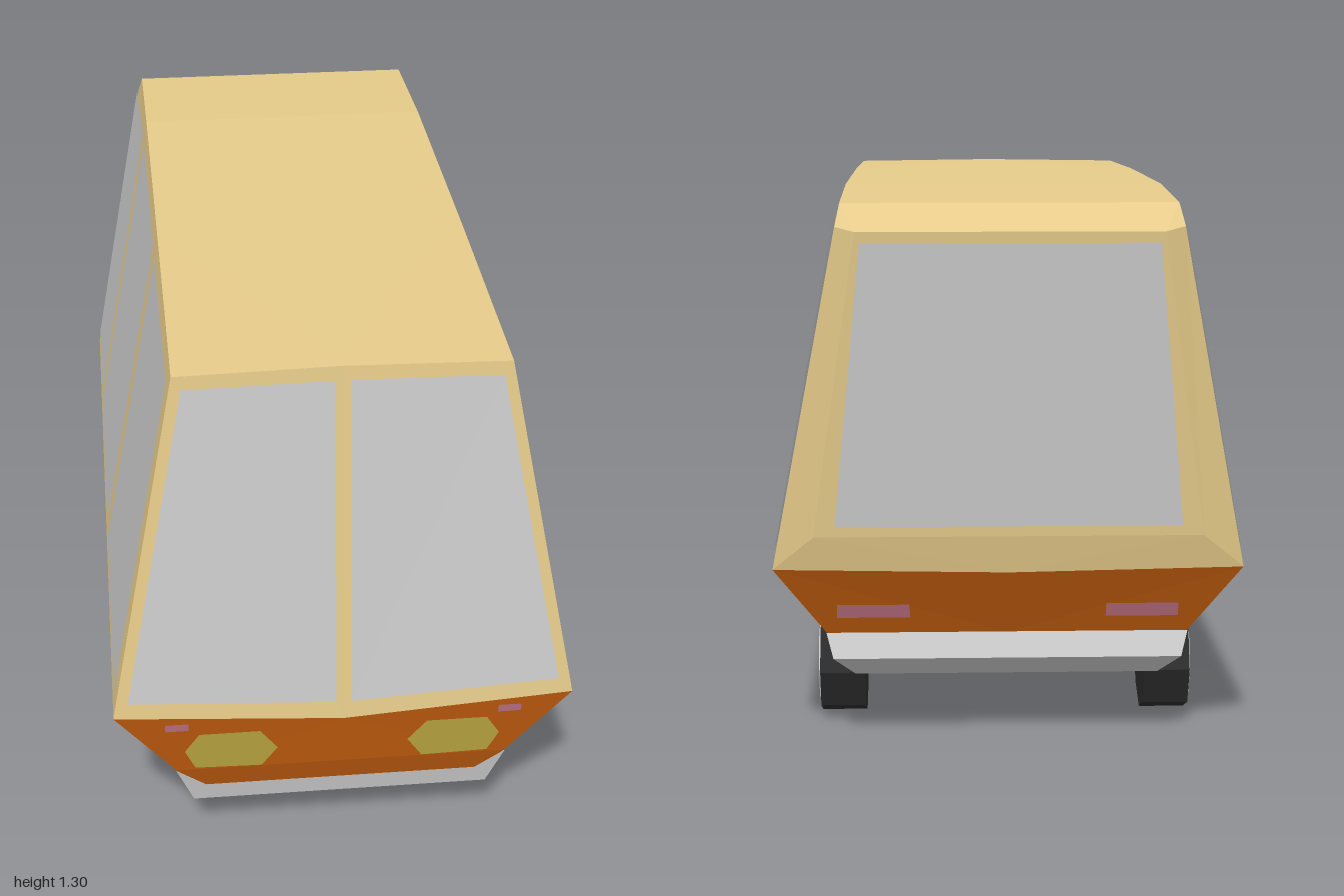
import * as THREE from 'three';

const mat = (color) => new THREE.MeshStandardMaterial({ color, flatShading: true, side: THREE.DoubleSide });
const MATS = {
  tan: mat(0xe6cb8a), orange: mat(0xc8600f), grey: mat(0xcccccc), yellow: mat(0xc8b446),
  pink: mat(0xc8788a), tyre: mat(0x2c2c2c),
};

// Mesh from right-half polygons: each is fanned, turned outward and mirrored in x
function shell(name, material, polys, centre = [0, 0.6, 0]) {
  const pos = [];
  const c = new THREE.Vector3(...centre);
  for (const sx of [1, -1]) {
    for (const poly of polys) {
      const p = poly.map(([x, y, z]) => new THREE.Vector3(x * sx, y, z));
      const normal = new THREE.Vector3();
      const mid = new THREE.Vector3();
      p.forEach((a, i) => {
        normal.add(a.clone().cross(p[(i + 1) % p.length]));
        mid.addScaledVector(a, 1 / p.length);
      });
      const outward = normal.dot(mid.sub(c)) > 0;
      for (let i = 1; i < p.length - 1; i++) {
        const tri = outward ? [p[0], p[i], p[i + 1]] : [p[0], p[i + 1], p[i]];
        tri.forEach((v) => pos.push(v.x, v.y, v.z));
      }
    }
  }
  const g = new THREE.BufferGeometry();
  g.setAttribute('position', new THREE.Float32BufferAttribute(pos, 3));
  g.computeVertexNormals();
  const mesh = new THREE.Mesh(g, material);
  mesh.name = name;
  return mesh;
}

const onCentre = ([, y, z]) => [0, y, z];

export function createModel() {
  const van = new THREE.Group();
  van.name = 'van';

  // Key corners of the left half
  const waistFront = [0.545, 0.445, 1.0], waistMid = [0, 0.395, 0.985];
  const waistRear = [0.545, 0.44, -0.905], waistRearMid = [0, 0.43, -0.905];
  const roof = [[0.38, 1.295, 0.9], [0.38, 1.305, 0.2], [0.38, 1.305, -0.55], [0.38, 1.285, -0.935]];
  const roofFrontMid = [0, 1.3, 0.895];
  const rearCorner = [0.39, 1.235, -0.98];
  const rearTop = [0.345, 1.225, -1.0], rearLow = [0.45, 0.52, -0.925];
  const noseLow = [0.4, 0.235, 0.945], sillFront = [0.355, 0.16, 0.915];
  const tailLow = [0.425, 0.265, -0.82], sillRear = [0.355, 0.16, -0.79];

  // Cabin frame
  const cabin = [
    [waistFront, waistRear, rearCorner, roof[3], roof[2], roof[1], roof[0]],
    [waistMid, waistFront, roof[0], roofFrontMid],
    [roof[3], rearCorner, rearTop],
    [roof[3], rearTop, onCentre(rearTop), onCentre(roof[3])],
    [rearCorner, waistRear, rearLow, rearTop],
    [rearTop, rearLow, onCentre(rearLow), onCentre(rearTop)],
    [rearLow, waistRear, waistRearMid, onCentre(rearLow)],
    [roofFrontMid, roof[0], roof[1], onCentre(roof[1])],
  ];
  for (let i = 1; i < 3; i++) cabin.push([roof[i], roof[i + 1], onCentre(roof[i + 1]), onCentre(roof[i])]);
  van.add(shell('cabinFrame', MATS.tan, cabin));

  // Lower body
  van.add(shell('lowerBody', MATS.orange, [
    [waistFront, noseLow, sillFront, sillRear, tailLow, waistRear],
    [waistMid, waistFront, noseLow, onCentre(noseLow)],
    [noseLow, sillFront, onCentre(sillFront), onCentre(noseLow)],
    [waistRear, tailLow, onCentre(tailLow), waistRearMid],
    [tailLow, sillRear, onCentre(sillRear), onCentre(tailLow)],
    [sillFront, sillRear, onCentre(sillRear), onCentre(sillFront)],
  ]));

  // Side windows, given as [z, y] corners on the sloping side
  const sidePoint = ([z, y]) => [0.549 - (y - 0.445) * 0.194, y, z];
  const sidePanes = [[0.955, 0.28, 0.22, 0.86], [0.21, -0.44, -0.515, 0.155], [-0.5, -0.88, -0.965, -0.575]];
  sidePanes.forEach(([a, b, c, d], i) => {
    const topRear = i === 2 ? 1.235 : 1.262;
    van.add(shell(`sideWindows${i + 1}`, MATS.grey,
      [[[a, 0.485], [b, 0.485], [c, topRear], [d, 1.262]].map(sidePoint)]));
  });

  // Windscreen halves
  const screenPoint = ([x, y]) => {
    const mid = 0.985 - (y - 0.395) * 0.0995;
    const outer = 1.0 - (y - 0.445) * 0.1176;
    const edge = 0.545 - (y - 0.445) * 0.194;
    return [x, y, mid + (outer - mid) * (x / edge) + 0.005];
  };
  van.add(shell('windscreen', MATS.grey,
    [[[0.018, 0.445], [0.51, 0.485], [0.36, 1.265], [0.018, 1.268]].map(screenPoint)]));

  // Rear window
  const rearPoint = ([x, y]) => [x, y, -0.925 - (y - 0.52) * 0.1064 - 0.004];
  van.add(shell('rearWindow', MATS.grey,
    [[[0, 0.545], [0.4, 0.545], [0.335, 1.2], [0, 1.2]].map(rearPoint)]));

  // Lamps
  const nosePoint = ([x, y]) => [x, y, 0.942 + (y - 0.235) * 0.275 + 0.006];
  const tailPoint = ([x, y]) => [x, y, -0.82 - (y - 0.265) * 0.486 - 0.007];
  van.add(shell('headlights', MATS.yellow,
    [[[0.38, 0.31], [0.345, 0.372], [0.2, 0.372], [0.157, 0.305], [0.195, 0.24], [0.355, 0.245]].map(nosePoint)]));
  van.add(shell('indicators', MATS.pink,
    [[[0.37, 0.39], [0.425, 0.39], [0.425, 0.415], [0.37, 0.415]].map(nosePoint)]));
  van.add(shell('tailLights', MATS.pink,
    [[[0.23, 0.31], [0.4, 0.31], [0.4, 0.345], [0.23, 0.345]].map(tailPoint)]));

  // Front bumper
  const fTop = [0.33, 0.18, 0.937], fTip = [0.402, 0.237, 0.948], fLow = [0.36, 0.13, 0.928], fBack = [0.35, 0.157, 0.88];
  van.add(shell('frontBumper', MATS.grey, [
    [fTop, fLow, onCentre(fLow), onCentre(fTop)],
    [fTop, fTip, fLow],
    [fTip, fLow, fBack],
    [fLow, fBack, onCentre(fBack), onCentre(fLow)],
  ], [0, 0.19, 0.85]));

  // Rear bumper: ridged bar
  const rTop = [0.427, 0.267, -0.823], rRidge = [0.41, 0.21, -0.848], rLow = [0.36, 0.157, -0.79];
  van.add(shell('rearBumper', MATS.grey, [
    [rTop, rRidge, onCentre(rRidge), onCentre(rTop)],
    [rRidge, rLow, onCentre(rLow), onCentre(rRidge)],
    [rTop, rRidge, rLow],
  ], [0, 0.21, -0.75]));

  // Wheels: octagonal tyre with a flat hub disc
  for (const side of [1, -1]) {
    for (const z of [0.525, -0.565]) {
      const wheel = new THREE.Group();
      wheel.name = `${z > 0 ? 'front' : 'rear'}${side > 0 ? 'Left' : 'Right'}Wheel`;
      const tyre = new THREE.Mesh(new THREE.CylinderGeometry(0.132, 0.132, 0.11, 8), MATS.tyre);
      tyre.name = 'tyre';
      const hub = new THREE.Mesh(new THREE.CylinderGeometry(0.108, 0.108, 0.02, 8), MATS.grey);
      hub.name = 'hub';
      hub.position.y = -side * 0.049;
      wheel.add(tyre, hub);
      wheel.rotation.z = Math.PI / 2;
      wheel.position.set(side * 0.395, 0.132, z);
      van.add(wheel);
    }
  }
  return van;
}
